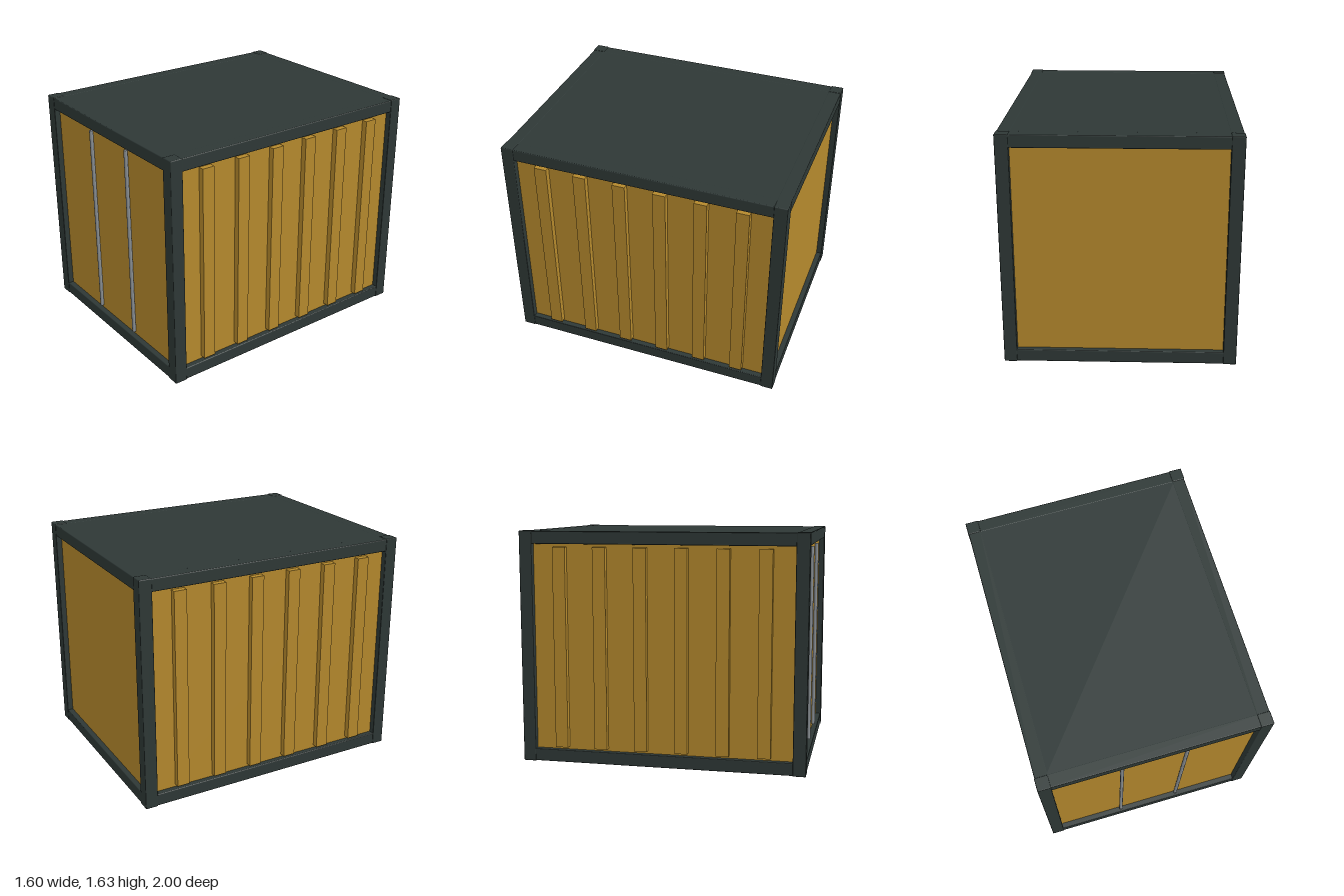
import * as THREE from 'three';
import { RoundedBoxGeometry } from 'three/addons/geometries/RoundedBoxGeometry.js';

const W = 1.6, H = 1.63, D = 2;   // overall size
const T = 0.09;                   // frame thickness
const RECESS = 0.042;             // how far wall panels sit inside the frame

export function createModel() {
  const model = new THREE.Group();
  model.name = 'cargoContainer';

  const frameDark = new THREE.MeshStandardMaterial({ color: 0x2e3836 });
  frameDark.name = 'frameDark';
  const wallOchre = new THREE.MeshStandardMaterial({ color: 0xb5892d });
  wallOchre.name = 'wallOchre';
  const rodGrey = new THREE.MeshStandardMaterial({ color: 0x8b9196 });
  rodGrey.name = 'rodGrey';

  const add = (name, geometry, material, x, y, z) => {
    const mesh = new THREE.Mesh(geometry, material);
    mesh.name = name;
    mesh.position.set(x, y, z);
    model.add(mesh);
    return mesh;
  };
  const box = (name, material, w, h, d, x, y, z) =>
    add(name, new THREE.BoxGeometry(w, h, d), material, x, y, z);
  const beam = (name, w, h, d, x, y, z) =>
    add(name, new RoundedBoxGeometry(w, h, d, 2, 0.006), frameDark, x, y, z);

  // Corner posts
  for (const sx of [-1, 1]) {
    for (const sz of [-1, 1]) {
      beam('cornerPost', T, H, T, sx * (W - T) / 2, H / 2, sz * (D - T) / 2);
    }
  }

  // Rails along the top and bottom, a hair inside the posts
  const inset = 0.003;
  for (const y of [T / 2 + inset / 2, H - T / 2 - inset / 2]) {
    const h = T - inset;
    for (const s of [-1, 1]) {
      beam('crossRail', W - T, h, T, 0, y, s * ((D - T) / 2 - inset));
      beam('sideRail', T, h, D - T, s * ((W - T) / 2 - inset), y, 0);
    }
  }

  // Floor and roof
  box('floor', frameDark, W - T, 0.06, D - T, 0, 0.034, 0);
  box('roof', frameDark, W - T, 0.06, D - T, 0, H - 0.034, 0);

  // Recessed wall panels
  const wallT = 0.03, wallH = H - T * 1.6;
  for (const s of [-1, 1]) {
    box('sidePanel', wallOchre, wallT, wallH, D - T * 1.6,
      s * (W / 2 - RECESS - wallT / 2), H / 2, 0);
    box(s > 0 ? 'frontPanel' : 'backPanel', wallOchre, W - T * 1.6, wallH, wallT,
      0, H / 2, s * (D / 2 - RECESS - wallT / 2));

    // Raised ribs on the side wall, six evenly spaced
    for (let i = 0; i < 6; i++) {
      box('sideRib', wallOchre, 0.05, 1.41, 0.09,
        s * (W / 2 - 0.026), H / 2, (i - 2.5) * 0.286);
    }

    // Upright locking rod on the front doors
    add('lockingRod', new THREE.CylinderGeometry(0.0135, 0.0135, 1.4, 12), rodGrey,
      s * 0.227, H / 2 + 0.002, 0.972);
  }

  return model;
}
